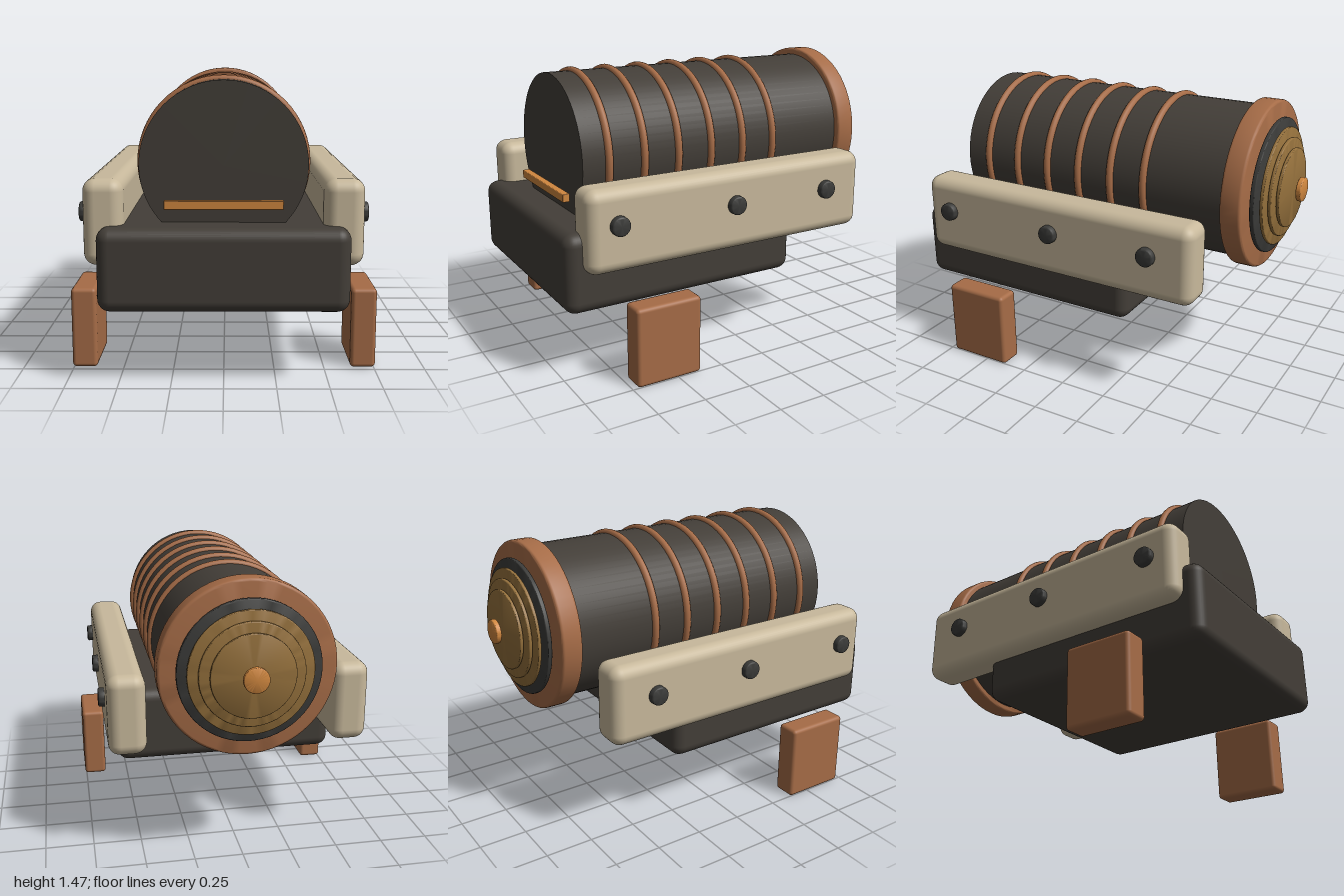
import * as THREE from 'three';
import { toCreasedNormals } from 'three/addons/utils/BufferGeometryUtils.js';
import { RoundedBoxGeometry } from 'three/addons/geometries/RoundedBoxGeometry.js';

const paint = (name, color) => {
  const m = new THREE.MeshStandardMaterial({ color });
  m.name = name;
  return m;
};

const AXIS_Y = 1.03; // height of the barrel axis

export function createModel() {
  const charcoal = paint('charcoal', 0x433e38);
  const slate = paint('slate', 0x3b3b39);
  const copper = paint('copper', 0xa66c47);
  const bronze = paint('bronze', 0x94703c);
  const orange = paint('orange', 0xd0873f);
  const sand = paint('sand', 0xc8b99c);

  const model = new THREE.Group();
  model.name = 'barrelMachine';

  const add = (name, geometry, material, x = 0, y = 0, z = 0) => {
    const mesh = new THREE.Mesh(geometry, material);
    mesh.name = name;
    mesh.position.set(x, y, z);
    model.add(mesh);
    return mesh;
  };

  // Box with rounded edges given by its limits on each axis
  const block = (name, [x0, x1], [y0, y1], [z0, z1], radius, material) =>
    add(name, new RoundedBoxGeometry(x1 - x0, y1 - y0, z1 - z0, 4, radius), material,
      (x0 + x1) / 2, (y0 + y1) / 2, (z0 + z1) / 2);

  // Solid disc along y with softly rounded rims
  const discGeometry = (radius, depth, bevel, segments = 64) => {
    const h = depth / 2;
    const points = [new THREE.Vector2(0, -h)];
    for (const side of [-1, 1]) {
      for (let i = 0; i <= 4; i++) {
        const a = (side < 0 ? i - 4 : i) * Math.PI / 8;
        points.push(new THREE.Vector2(
          radius - bevel + bevel * Math.cos(a), side * (h - bevel) + bevel * Math.sin(a)));
      }
    }
    points.push(new THREE.Vector2(0, h));
    return toCreasedNormals(new THREE.LatheGeometry(points, segments), 0.6);
  };

  // Disc centred on the barrel axis, between two depths
  const axialDisc = (name, radius, z0, z1, bevel, material) => {
    const g = discGeometry(radius, z1 - z0, bevel).rotateX(Math.PI / 2);
    return add(name, g, material, 0, AXIS_Y, (z0 + z1) / 2);
  };

  // Barrel with hoops
  const barrel = new THREE.CylinderGeometry(0.4, 0.4, 1.56, 64).rotateX(Math.PI / 2);
  add('barrel', barrel, charcoal, 0, AXIS_Y, 0.04);
  const hoop = new THREE.TorusGeometry(0.4, 0.02, 12, 64);
  for (let i = 0; i < 6; i++) add('hoop', hoop, copper, 0, AXIS_Y, 0.68 - i * 0.1935);

  // Rear collar and stepped end cap
  axialDisc('rearCollar', 0.435, -0.83, -0.72, 0.015, copper);
  axialDisc('capBacking', 0.35, -0.865, -0.84, 0.008, slate);
  axialDisc('capStepLarge', 0.305, -0.893, -0.875, 0.006, bronze);
  axialDisc('capStepMiddle', 0.255, -0.917, -0.898, 0.006, bronze);
  axialDisc('capStepSmall', 0.205, -0.941, -0.922, 0.006, bronze);
  axialDisc('capButton', 0.062, -1.0, -0.972, 0.006, orange);

  // Base and front bar
  block('base', [-0.59, 0.59], [0.36, 0.76], [-0.29, 1.0], 0.06, charcoal);
  block('frontBar', [-0.28, 0.28], [0.83, 0.872], [0.842, 0.88], 0.004, orange);

  // Side rails with bolts, and feet
  const bolt = discGeometry(0.048, 0.05, 0.01, 32).rotateZ(Math.PI / 2);
  for (const s of [1, -1]) {
    const span = (a, b) => (s > 0 ? [a, b] : [-b, -a]);
    const side = s > 0 ? 'left' : 'right';
    block(side + 'Rail', span(0.468, 0.66), [0.563, 0.977], [-0.69, 0.917], 0.06, sand);
    for (const z of [0.76, 0.115, -0.45]) add(side + 'Bolt', bolt, slate, s * 0.667, 0.802, z);
    block(side + 'Foot', span(0.632, 0.758), [0, 0.405], [0.373, 0.725], 0.02, copper);
  }

  return model;
}
